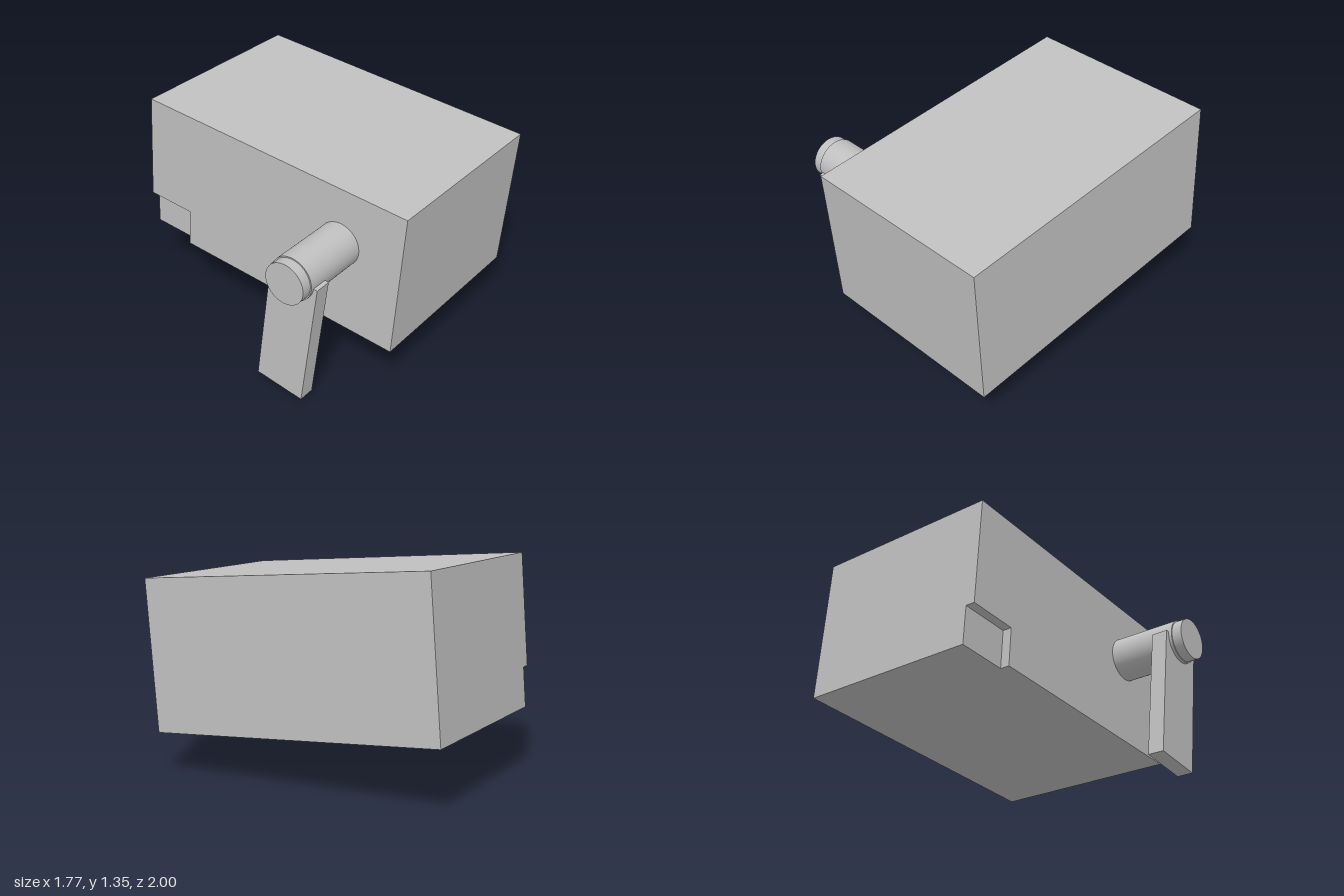
import * as THREE from 'three';

export function createModel() {
  const model = new THREE.Group();
  model.name = 'tiltedBoxWithCrank';
  const grey = new THREE.MeshStandardMaterial({ color: 0xc0c0c0 });
  grey.name = 'plain grey';

  const add = (parent, name, geometry, x, y, z) => {
    const mesh = new THREE.Mesh(geometry, grey);
    mesh.name = name;
    mesh.position.set(x, y, z);
    parent.add(mesh);
    return mesh;
  };

  // Body, raised at the back
  const H = 0.953, L = 1.93, right = -0.375, left = 0.88, skin = 0.06;
  const body = new THREE.Group();
  body.name = 'body';
  body.position.set(0, 0.807, 0);
  body.rotation.x = 0.0752;
  model.add(body);

  const inner = right + skin;
  add(body, 'bodyCore', new THREE.BoxGeometry(left - inner, H, L), (left + inner) / 2, 0, 0);

  // Side panel with a shallow notch at its lower back corner
  const notchLength = 0.33, notchHeight = 0.25;
  const profile = new THREE.Shape([
    [L / 2, -H / 2], [L / 2, H / 2], [-L / 2, H / 2],
    [-L / 2, -H / 2 + notchHeight],
    [-L / 2 + notchLength, -H / 2 + notchHeight],
    [-L / 2 + notchLength, -H / 2],
  ].map(([z, y]) => new THREE.Vector2(z, y)));
  const panel = new THREE.ExtrudeGeometry(profile, { depth: skin, bevelEnabled: false });
  panel.rotateY(-Math.PI / 2);
  add(body, 'notchedSidePanel', panel, inner, 0, 0);

  // Shaft and its narrower end cap, both along x
  const rod = (name, radius, x0, x1) => {
    const geometry = new THREE.CylinderGeometry(radius, radius, x1 - x0, 64).rotateZ(Math.PI / 2);
    add(model, name, geometry, (x0 + x1) / 2, 0.873, 0.54);
  };
  rod('shaft', 0.141, -0.82, right + 0.02);
  rod('shaftEndCap', 0.133, -0.885, -0.81);

  // Slanted arm hanging from the shaft to the ground
  const arm = add(model, 'arm', new THREE.BoxGeometry(0.105, 0.853, 0.333), -0.7475, 0.45, 0.4825);
  arm.rotation.x = 0.136;

  return model;
}
